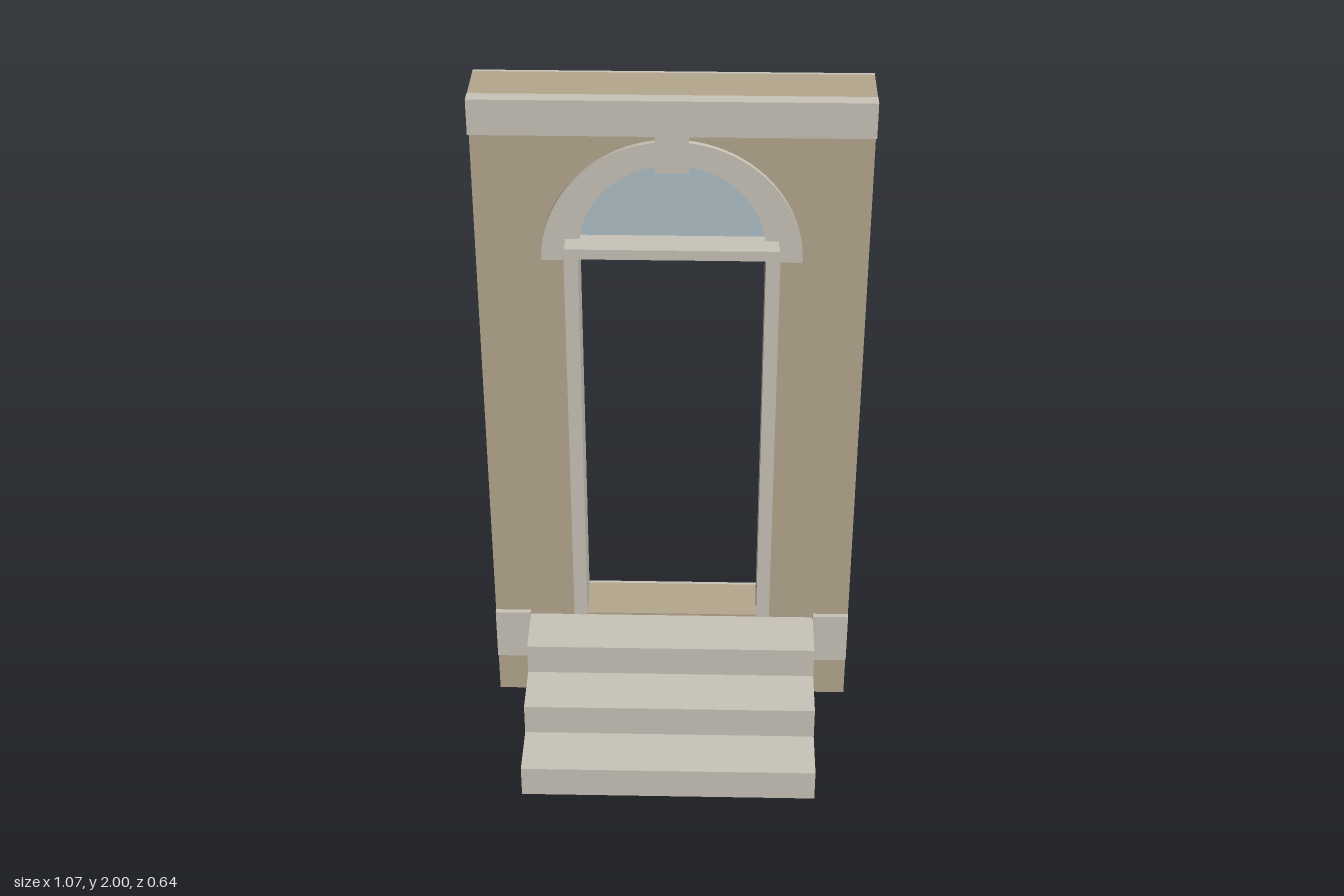
import * as THREE from 'three';

const HALF = 0.533, SPRING = 1.52, SILL = 0.3, OPEN = 0.294, LIGHT = 0.255;

export function createModel() {
  const group = new THREE.Group();
  const material = (name, color) => new THREE.MeshStandardMaterial({ name, color });
  const stone = material('pale stone', 0xc9c4b8);
  const sand = material('sand render', 0xb5a78e);
  const glass = material('fanlight glass', 0xb0c1c9);

  const add = (name, geometry, mat) => {
    const mesh = new THREE.Mesh(geometry, mat);
    mesh.name = name;
    group.add(mesh);
    return mesh;
  };
  // box given by its limits on each axis
  const box = (name, [x0, x1], [y0, y1], [z0, z1], mat = stone) => {
    const g = new THREE.BoxGeometry(x1 - x0, y1 - y0, z1 - z0);
    g.translate((x0 + x1) / 2, (y0 + y1) / 2, (z0 + z1) / 2);
    return add(name, g, mat);
  };
  // shape pulled from z0 to z1
  const slab = (name, shape, z0, z1, mat = stone) => {
    const g = new THREE.ExtrudeGeometry(shape, { depth: z1 - z0, bevelEnabled: false, curveSegments: 32 });
    g.translate(0, 0, z0);
    return add(name, g, mat);
  };
  const archBand = (outer, inner) => {
    const s = new THREE.Shape();
    s.moveTo(outer, SPRING);
    s.absarc(0, SPRING, outer, 0, Math.PI, false);
    s.lineTo(-inner, SPRING);
    s.absarc(0, SPRING, inner, Math.PI, 0, true);
    s.closePath();
    return s;
  };

  // wall with an arched doorway, and a pale skin on its back
  const wall = new THREE.Shape();
  wall.moveTo(-HALF, 0);
  wall.lineTo(HALF, 0);
  wall.lineTo(HALF, 1.996);
  wall.lineTo(-HALF, 1.996);
  wall.closePath();
  const doorway = new THREE.Path();
  doorway.moveTo(-OPEN, SILL);
  doorway.lineTo(OPEN, SILL);
  doorway.lineTo(OPEN, SPRING);
  doorway.absarc(0, SPRING, OPEN, 0, Math.PI, false);
  doorway.closePath();
  wall.holes.push(doorway);
  slab('wall', wall, -0.31, -0.16, sand);
  slab('wallBackSkin', wall, -0.32, -0.31);

  // door frame and fanlight
  for (const side of [-1, 1]) {
    const xs = side < 0 ? [-OPEN, -LIGHT] : [LIGHT, OPEN];
    box('frameJamb', xs, [SILL, SPRING], [-0.27, -0.15]);
  }
  box('transom', [-OPEN, OPEN], [SPRING, 1.55], [-0.27, -0.15]);
  slab('fanlightFrame', archBand(OPEN, LIGHT), -0.27, -0.21);
  const pane = new THREE.Shape();
  pane.absarc(0, SPRING, LIGHT, 0, Math.PI, false);
  pane.closePath();
  slab('fanlightPane', pane, -0.244, -0.236, glass);

  // arch moulding, keystone and cornice
  slab('archMoulding', archBand(0.354, OPEN), -0.16, -0.145);
  box('keystone', [-0.045, 0.045], [1.79, 1.9], [-0.16, -0.13]);
  box('cornice', [-HALF, HALF], [1.9, 2], [-0.16, -0.12]);

  // plinth blocks beside the steps
  for (const side of [-1, 1]) {
    const xs = side < 0 ? [-HALF, -0.427] : [0.427, HALF];
    box('plinthBlock', xs, [0.14, 0.307], [-0.16, -0.145]);
  }

  // stepped profile swept across the doorway
  const profile = new THREE.Shape([
    [-0.16, 0], [0.32, 0], [0.32, 0.098], [0.16, 0.098], [0.16, 0.196],
    [0, 0.196], [0, 0.293], [-0.16, 0.293],
  ].map(([z, y]) => new THREE.Vector2(z, y)));
  const steps = new THREE.ExtrudeGeometry(profile, { depth: 0.854, bevelEnabled: false });
  steps.translate(0, 0, -0.427);
  steps.rotateY(-Math.PI / 2);
  add('steps', steps, stone);

  return group;
}
